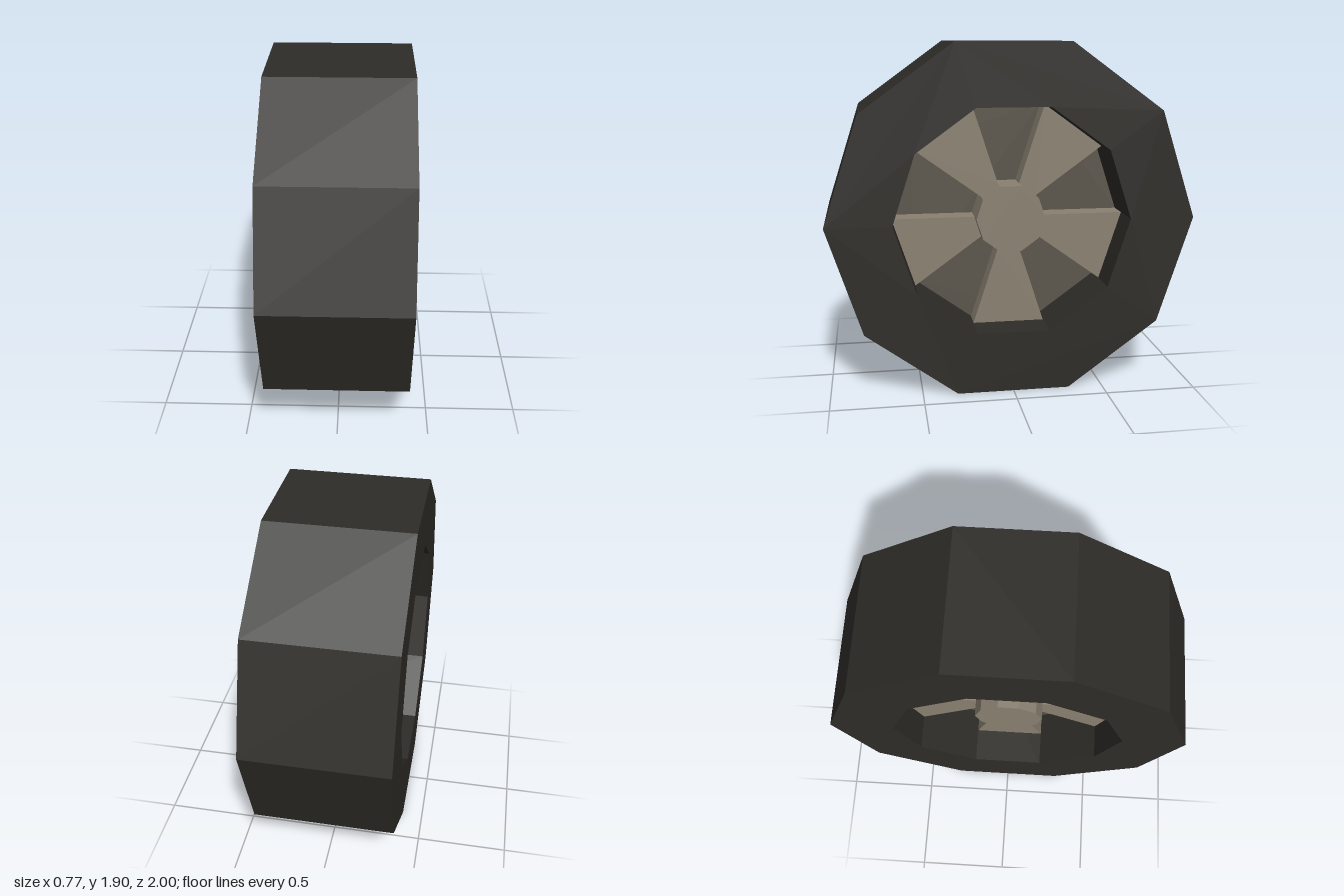
import * as THREE from 'three';

const SIDES = 10;
const TYRE_R = 1, RIM_R = 0.645, HUB_R = 0.19;
const AXLE_Y = TYRE_R * Math.cos(Math.PI / SIDES);

// Corner k of a regular decagon
const corner = (k, r) => {
  const a = (k * 2 * Math.PI) / SIDES;
  return new THREE.Vector2(r * Math.cos(a), r * Math.sin(a));
};
const ring = (r) => Array.from({ length: SIDES }, (_, k) => corner(k, r));

// Extrude a wheel outline evenly to both sides along the x axle
function slab(name, shape, halfWidth, color) {
  const geo = new THREE.ExtrudeGeometry(shape, { depth: halfWidth * 2, bevelEnabled: false });
  geo.translate(0, 0, -halfWidth);
  geo.rotateY(Math.PI / 2);
  const mesh = new THREE.Mesh(geo, new THREE.MeshStandardMaterial({ color, flatShading: true }));
  mesh.name = name;
  return mesh;
}

export function createModel() {
  const wheel = new THREE.Group();
  wheel.name = 'wheel';
  wheel.position.y = AXLE_Y;

  // Ten-sided tyre with an open centre
  const tyre = new THREE.Shape(ring(TYRE_R));
  tyre.holes.push(new THREE.Path(ring(RIM_R)));
  wheel.add(slab('tyre', tyre, 0.385, 0x2e2c28));

  // Recessed disc seen between the spokes
  wheel.add(slab('rimDisc', new THREE.Shape(ring(RIM_R)), 0.07, 0x5a554b));

  // Five wedge spokes on alternate sides
  const spokes = new THREE.Group();
  spokes.name = 'spokes';
  for (let k = 1; k < SIDES; k += 2) {
    const wedge = new THREE.Shape([
      corner(k, HUB_R), corner(k, RIM_R), corner(k + 1, RIM_R), corner(k + 1, HUB_R),
    ]);
    spokes.add(slab('spoke', wedge, 0.195, 0x8a8171));
  }
  wheel.add(spokes);

  // Raised hub
  wheel.add(slab('hub', new THREE.Shape(ring(HUB_R)), 0.285, 0x8a8171));

  const model = new THREE.Group();
  model.add(wheel);
  return model;
}
